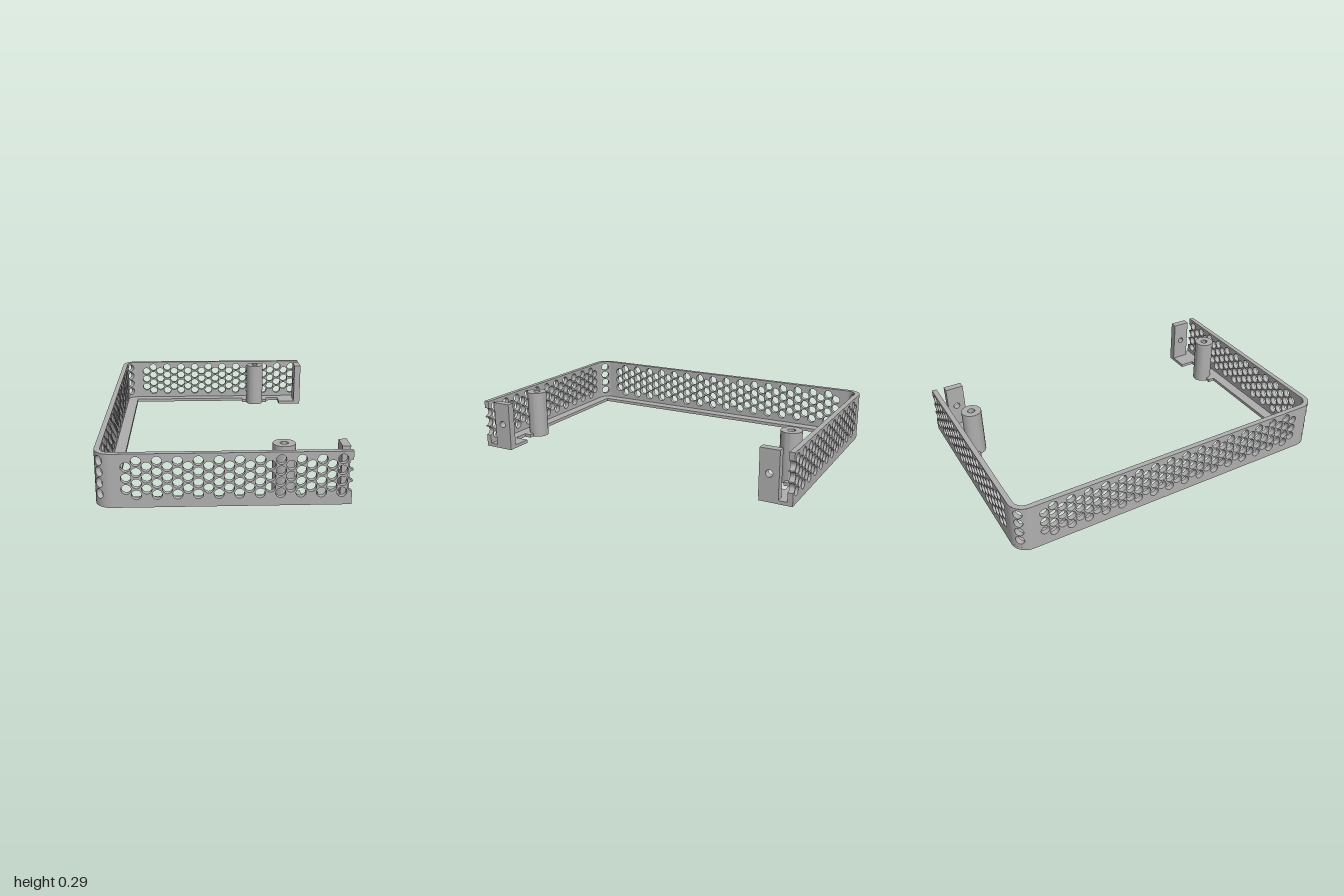
import * as THREE from 'three';
import { toCreasedNormals, mergeGeometries } from 'three/addons/utils/BufferGeometryUtils.js';

const X = 0.656, H = 0.29, FLOOR = 0.02, T = 0.03, R = 0.09; // half depth, height, floor, wall, corner
const HOLE = 0.026, PITCH = 0.06, COL = 0.0522;
const ROWS4 = [0.069, 0.129, 0.189, 0.249], ROWS3 = [0.099, 0.159, 0.219];

const circle = (x, y, r) => new THREE.Path().absarc(x, y, r, 0, Math.PI * 2, true);

function extrude(shape, depth, curveSegments = 12) {
  const g = new THREE.ExtrudeGeometry(shape, { depth, bevelEnabled: false, curveSegments });
  return toCreasedNormals(g, 0.7);
}

// Wall panel: rectangle from u0 to u1 with staggered hole columns, optionally with an edge that cuts holes in half
function wallShape(u0, u1, columns, cutEnd) {
  const s = new THREE.Shape();
  s.moveTo(u0, FLOOR);
  s.lineTo(u1, FLOOR);
  if (cutEnd) for (const y of ROWS3) {
    s.lineTo(u1, y - HOLE);
    s.absarc(u1, y, HOLE, -Math.PI / 2, Math.PI / 2, true);
  }
  s.lineTo(u1, H);
  s.lineTo(u0, H);
  s.closePath();
  for (const { u, rows } of columns) for (const y of rows) s.holes.push(circle(u, y, HOLE));
  return s;
}

// Surface patch from a function of (a, b), both 0..1
function patch(fn, na, nb) {
  const pos = [], idx = [];
  for (let i = 0; i <= na; i++) for (let j = 0; j <= nb; j++) pos.push(...fn(i / na, j / nb));
  for (let i = 0; i < na; i++) for (let j = 0; j < nb; j++) {
    const a = i * (nb + 1) + j, b = a + nb + 1;
    idx.push(a, b, a + 1, b, b + 1, a + 1);
  }
  const g = new THREE.BufferGeometry();
  g.setAttribute('position', new THREE.Float32BufferAttribute(pos, 3));
  g.setIndex(idx);
  g.computeVertexNormals();
  return g;
}

// Rounded corner wall with a column of holes drilled along its diagonal
function cornerGeometry() {
  const at = (r, ang, y) => {
    const t = Math.PI * 0.75 + ang;
    return [r * Math.cos(t), y, r * Math.sin(t)];
  };
  const parts = [];
  ROWS4.forEach((yc, k) => {
    const low = k === 0 ? FLOOR : yc - PITCH / 2, high = k === 3 ? H : yc + PITCH / 2;
    const rim = (r, phi) => [Math.asin(HOLE * Math.cos(phi) / r), yc + HOLE * Math.sin(phi)];
    const face = r => (a, b) => {
      const phi = a * Math.PI * 2, c = Math.cos(phi), s = Math.sin(phi);
      const m = Math.max(Math.abs(c), Math.abs(s));
      const [a0, y0] = rim(r, phi);
      const a1 = c / m * Math.PI / 4, y1 = yc + s / m * (s > 0 ? high - yc : yc - low);
      return at(r, a0 + (a1 - a0) * b, y0 + (y1 - y0) * b);
    };
    parts.push(patch(face(R), 48, 4));
    parts.push(patch((a, b) => face(R - T)(1 - a, b), 48, 4));
    parts.push(patch((a, b) => {
      const r = R - T * b;
      return at(r, ...rim(r, a * Math.PI * 2));
    }, 48, 1));
  });
  // top edge
  parts.push(patch((a, b) => at(R - T * b, (a - 0.5) * Math.PI / 2, H), 12, 1));
  return mergeGeometries(parts);
}

// Floor outline seen from above: a three-sided ledge with post tabs and end pads
function floorShape() {
  const s = new THREE.Shape();
  const half = [[X, 0.815], [0.5, 0.815], [0.5, 0.905], [0.41, 0.905], [0.41, 0.863]];
  const rest = [[0.23, 0.863], [0.23, 0.905], [-0.558, 0.905]];
  s.moveTo(X, 1);
  for (const p of half) s.lineTo(...p);
  s.lineTo(0.37, 0.863);
  s.absarc(0.32, 0.863, 0.05, 0, Math.PI, false);
  for (const p of rest) s.lineTo(...p);
  for (const [x, z] of [...rest].reverse()) s.lineTo(x, -z);
  s.lineTo(0.27, -0.863);
  s.absarc(0.32, -0.863, 0.05, Math.PI, Math.PI * 2, false);
  for (const [x, z] of [...half].reverse()) s.lineTo(x, -z);
  s.lineTo(X, -1);
  s.lineTo(-X + R, -1);
  s.absarc(-X + R, -1 + R, R, -Math.PI / 2, -Math.PI, true);
  s.lineTo(-X, 1 - R);
  s.absarc(-X + R, 1 - R, R, Math.PI, Math.PI / 2, true);
  s.closePath();
  return s;
}

export function createModel() {
  const model = new THREE.Group();
  const grey = new THREE.MeshStandardMaterial({ color: 0xb0b0b0, side: THREE.DoubleSide });
  grey.name = 'grey';
  const add = (name, geometry, x = 0, y = 0, z = 0) => {
    const mesh = new THREE.Mesh(geometry, grey);
    mesh.name = name;
    mesh.position.set(x, y, z);
    model.add(mesh);
    return mesh;
  };

  // floor ledge
  add('floorLedge', extrude(floorShape(), FLOOR).rotateX(Math.PI / 2), 0, FLOOR, 0);

  // long perforated wall
  const longCols = [];
  for (let i = -16; i <= 16; i++) longCols.push({ u: i * COL, rows: i % 2 ? ROWS4 : ROWS3 });
  add('longWall', extrude(wallShape(-1 + R, 1 - R, longCols, false), T).rotateY(-Math.PI / 2), -X + T);

  // perforated side walls
  const sideCols = [];
  for (let i = 1; i <= 22; i++) sideCols.push({ u: X - i * COL, rows: i % 2 ? ROWS4 : ROWS3 });
  const sideWall = extrude(wallShape(-X + R, X, sideCols, true), T);

  // hollow posts
  const ring = new THREE.Shape().absarc(0, 0, 0.06, 0, Math.PI * 2, false);
  ring.holes.push(circle(0, 0, 0.022));
  const post = extrude(ring, H, 24).rotateX(-Math.PI / 2);

  // upright end plates with a screw hole
  const plate = new THREE.Shape();
  plate.moveTo(-0.055, FLOOR);
  plate.lineTo(0.055, FLOOR);
  plate.lineTo(0.055, H);
  plate.lineTo(-0.055, H);
  plate.closePath();
  plate.holes.push(circle(0, 0.157, 0.02));
  const endPlate = extrude(plate, 0.044).rotateY(-Math.PI / 2);

  const corner = cornerGeometry();
  for (const side of [1, -1]) {
    const label = side > 0 ? 'front' : 'back';
    add(label + 'Wall', sideWall, 0, 0, side > 0 ? 1 - T : -1);
    add(label + 'Post', post, 0.32, 0, side * 0.863);
    add(label + 'EndPlate', endPlate, X, 0, side * 0.868);
    add(label + 'Corner', corner, -X + R, 0, side * (1 - R)).scale.z = side;
  }
  return model;
}
